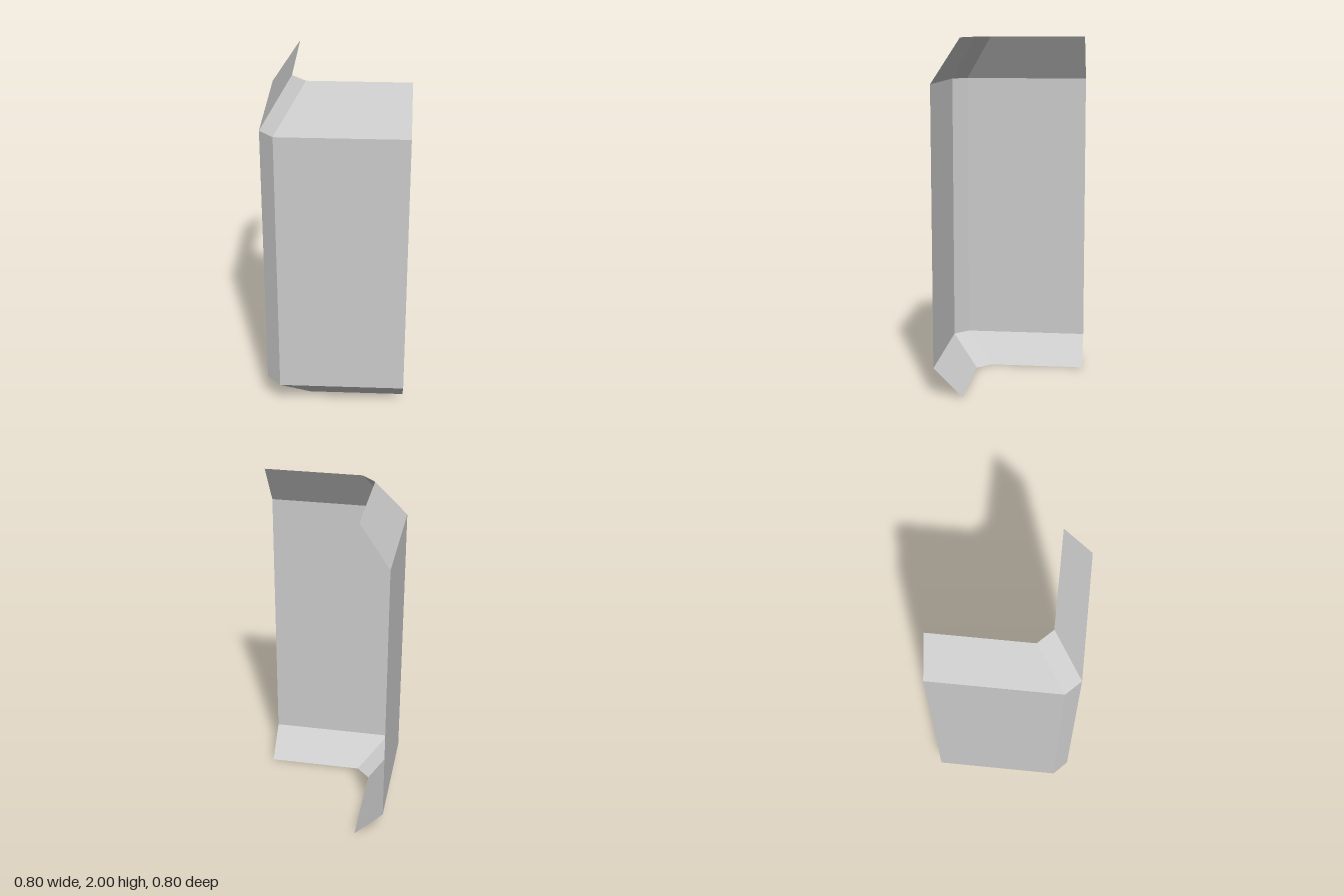
import * as THREE from 'three';

// Corner path seen from above, moved inward by d
const cornerPath = (d) => [
  [-0.4 + d, -0.4],
  [-0.4 + d, 0.32 - d],
  [-0.32 + d, 0.4 - d],
  [0.4, 0.4 - d],
];

// Flat strip of panels between two heights, each with its own inset
function band(y0, d0, y1, d1) {
  const low = cornerPath(d0).map(([x, z]) => [x, y0, z]);
  const high = cornerPath(d1).map(([x, z]) => [x, y1, z]);
  const pos = [];
  for (let i = 0; i < low.length - 1; i++) {
    const [a, b, c, e] = [low[i], low[i + 1], high[i + 1], high[i]];
    pos.push(...a, ...b, ...c, ...a, ...c, ...e);
  }
  const geometry = new THREE.BufferGeometry();
  geometry.setAttribute('position', new THREE.Float32BufferAttribute(pos, 3));
  geometry.computeVertexNormals();
  return geometry;
}

export function createModel() {
  const group = new THREE.Group();
  group.name = 'cornerPanel';
  const grey = new THREE.MeshStandardMaterial({ color: 0xcccccc, side: THREE.DoubleSide });
  grey.name = 'light grey';

  const add = (name, ...levels) => {
    const mesh = new THREE.Mesh(band(...levels), grey);
    mesh.name = name;
    group.add(mesh);
  };

  const inset = 0.165;
  add('bottomFlange', 0, inset, 0.165, 0);
  add('wall', 0.165, 0, 1.75, 0);
  add('topFlange', 1.75, 0, 2, inset);
  return group;
}
